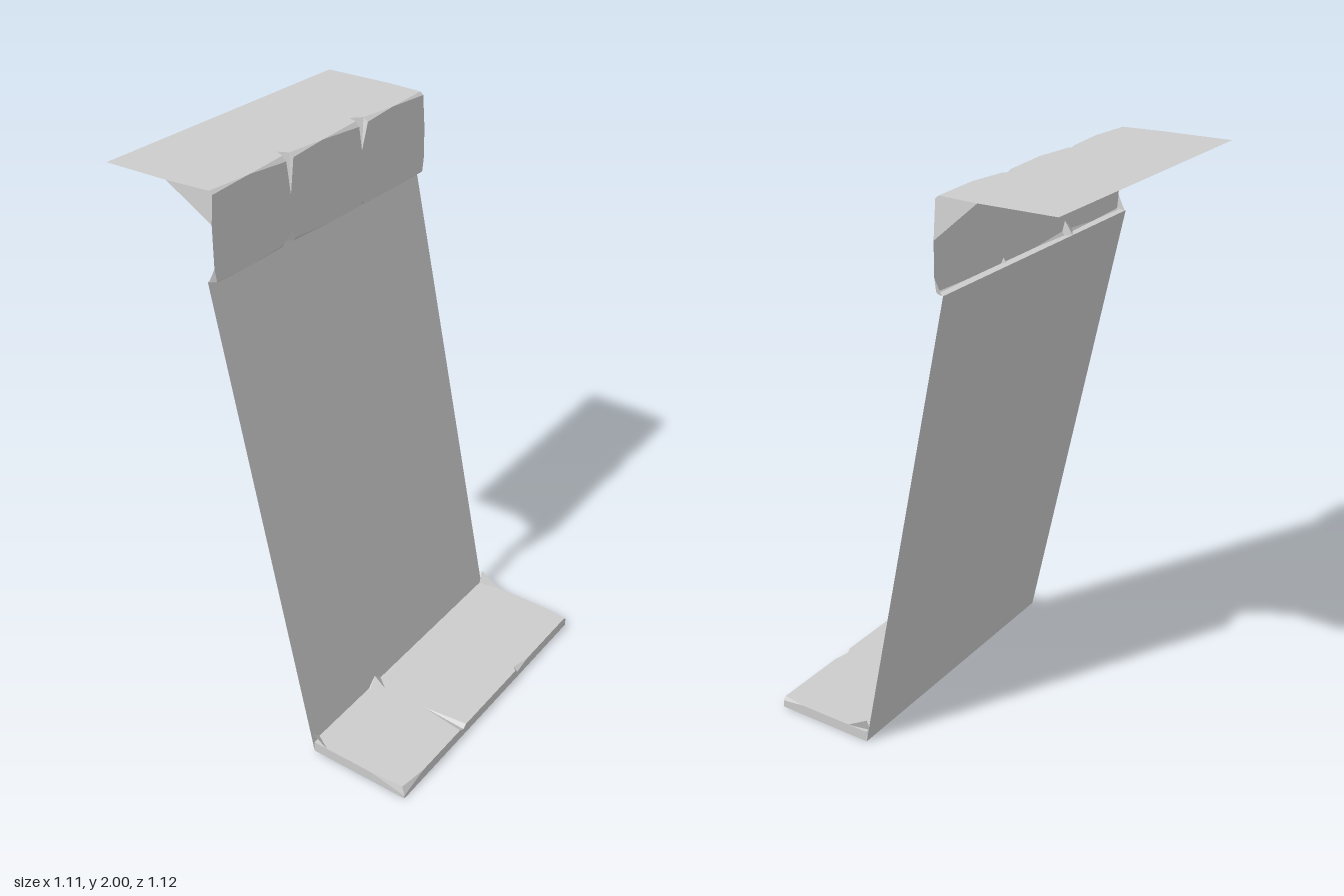
import * as THREE from 'three';

const W = 0.555; // half width

// Chipped edges as stations [x, vertical cut, depth cut]
const topEdge = [
  [-W, 0.1, 0.17], [-0.545, 0.01, 0.012], [-0.38, 0, 0], [-0.205, 0.015, 0.015], [-0.187, 0.13, 0.05],
  [-0.17, 0.012, 0.015], [-0.02, 0, 0], [0.172, 0.015, 0.015], [0.187, 0.1, 0.05], [0.22, 0.012, 0.018],
  [0.36, 0, 0], [0.543, 0.01, 0.012], [W, 0.13, 0.15],
];
const lipEdge = [
  [-W, 0.05, 0.025], [-0.547, 0.005, 0.005], [-0.38, 0, 0], [-0.23, 0.01, 0.005], [-0.187, 0.045, 0.03],
  [-0.17, 0.012, 0.008], [0, 0, 0], [0.18, 0, 0], [0.187, 0.015, 0.012], [0.2, 0, 0],
  [0.4, 0, 0], [0.547, 0.005, 0.005], [W, 0.05, 0.025],
];
const stepEdge = [
  [-W, 0.028, 0.14], [-0.547, 0.025, 0.015], [-0.44, 0, 0], [-0.21, 0, 0], [-0.187, 0.012, 0.17],
  [-0.17, 0, 0], [0.17, 0, 0], [0.187, 0.015, 0.016], [0.26, 0, 0], [0.543, 0, 0], [W, 0.012, 0.09],
];
const cornerFill = [
  [-W, 0.035, 0.055], [-0.52, 0, 0], [-0.222, 0, 0], [-0.187, 0.035, 0.04], [-0.15, 0, 0],
  [0.54, 0, 0], [W, 0.05, 0.08],
];

// One row of points along an edge, cut by sy and sz
const row = (edge, y, z, sy = 0, sz = 0) =>
  edge.map(([x, dy, dz]) => [x, y + sy * dy, z + sz * dz]);

export function createModel() {
  const group = new THREE.Group();
  const material = new THREE.MeshStandardMaterial({
    color: 0xcccccc, flatShading: true, side: THREE.DoubleSide,
  });

  // Surface joining two rows of points
  function strip(name, a, b) {
    const pos = [];
    for (let i = 0; i < a.length - 1; i++) {
      pos.push(...a[i], ...a[i + 1], ...b[i + 1], ...a[i], ...b[i + 1], ...b[i]);
    }
    const geometry = new THREE.BufferGeometry();
    geometry.setAttribute('position', new THREE.Float32BufferAttribute(pos, 3));
    geometry.computeVertexNormals();
    const mesh = new THREE.Mesh(geometry, material);
    mesh.name = name;
    group.add(mesh);
  }

  // Bottom step, open underneath
  const stepFront = row(stepEdge, 0.04, 0.56, -1, 0);
  const stepTop = row(stepEdge, 0.04, 0.56, 0, -1);
  strip('stepFront', row(stepEdge, 0, 0.56), stepFront);
  strip('stepFrontChips', stepFront, stepTop);
  strip('stepTop', stepTop, row(stepEdge, 0.04, 0.18));

  // Step ends follow the chipped corners
  for (const side of [1, -1]) {
    const [, dy, dz] = side > 0 ? stepEdge[stepEdge.length - 1] : stepEdge[0];
    const zs = [0.56, 0.56 - dz, 0.18];
    const low = zs.map((z) => [side * W, 0, z]);
    const high = zs.map((z, i) => [side * W, i ? 0.04 : 0.04 - dy, z]);
    if (side < 0) { low.reverse(); high.reverse(); }
    strip(side > 0 ? 'leftStepEnd' : 'rightStepEnd', low, high);
  }

  // Small fillets between step and slope
  strip('slopeFootFill', row(cornerFill, 0.04, 0.18, 0, 1), row(cornerFill, 0.04, 0.175, 1, 0));

  // Leaning slope
  const ends = [[-W], [W]];
  strip('slope', row(ends, 0, 0.18, 0, 0).map(([x]) => [x, 0, 0.18]), ends.map(([x]) => [x, 1.71, -0.18]));

  // Narrow underside joining the slope to the riser
  const lipBack = row(lipEdge, 1.71, -0.15, 0, -1);
  const riserFoot = row(lipEdge, 1.71, -0.15, 1, 0);
  strip('riserUnderside', row(lipEdge, 1.71, -0.18), lipBack);
  strip('riserFootChips', lipBack, riserFoot);

  // Upright riser, split at mid height where the two chipped edges meet
  strip('riserLower', riserFoot, row(lipEdge, 1.82, -0.15));
  const riserHead = row(topEdge, 2, -0.15, -1, 0);
  strip('riserUpper', row(topEdge, 1.82, -0.15), riserHead);

  // Chipped upper edge and flat top
  const topFront = row(topEdge, 2, -0.15, 0, -1);
  strip('topEdgeChips', riserHead, topFront);
  strip('topSheet', topFront, row(topEdge, 2, -0.56));

  return group;
}
